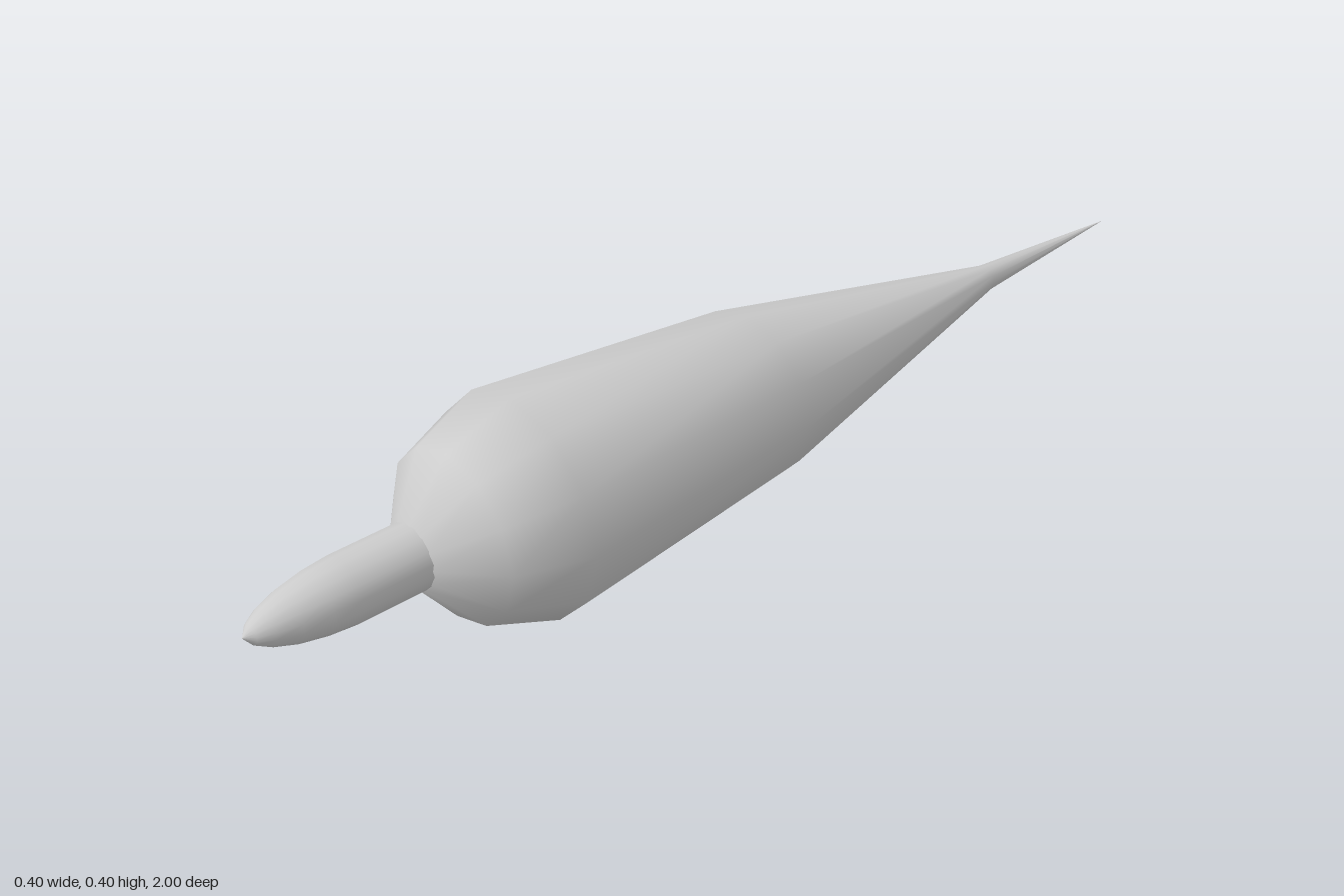
import * as THREE from 'three';

export function createModel() {
  const group = new THREE.Group();
  const grey = new THREE.MeshStandardMaterial({ color: 0xcccccc });
  grey.name = 'light grey';

  // Turns a profile of [radius, z] pairs, back to front, about the z axis
  function turned(name, profile, sides, phase) {
    const points = profile.map(([r, z]) => new THREE.Vector2(r, z));
    const geometry = new THREE.LatheGeometry(points, sides, phase);
    geometry.rotateX(Math.PI / 2);
    const mesh = new THREE.Mesh(geometry, grey);
    mesh.name = name;
    mesh.position.y = 0.2;
    group.add(mesh);
  }

  // Tapering body with its long pointed tail
  turned('body', [
    [0, -1], [0.025, -0.65], [0.153, -0.03], [0.2, 0.48],
    [0.153, 0.61], [0.057, 0.69], [0, 0.69],
  ], 12, 0);

  // Slim rounded nose
  turned('nose', [
    [0.058, 0.66], [0.058, 0.82], [0.054, 0.87], [0.045, 0.92],
    [0.032, 0.96], [0.018, 0.985], [0, 1],
  ], 16, Math.PI / 16);

  return group;
}
